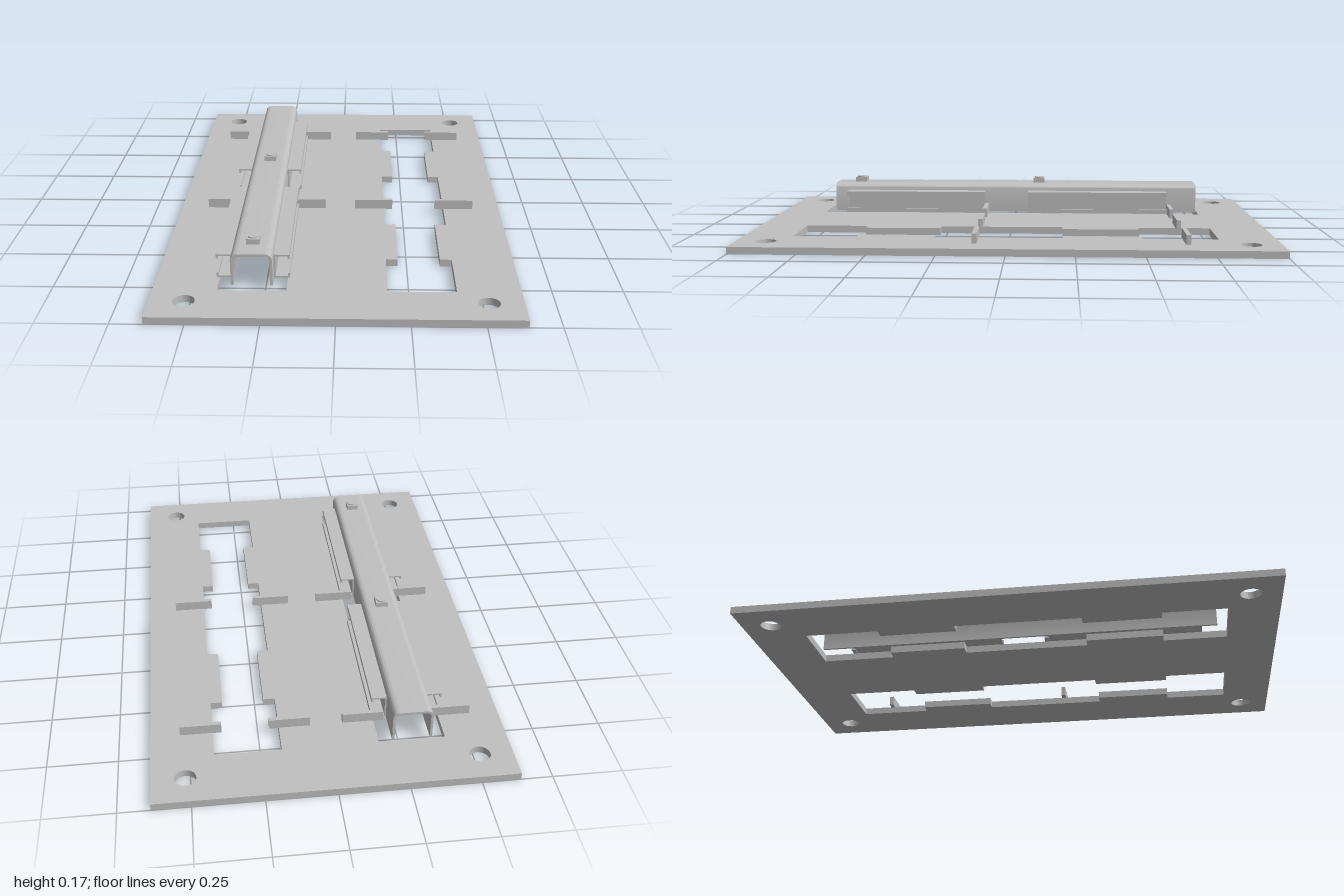
import * as THREE from 'three';
import { toCreasedNormals } from 'three/addons/utils/BufferGeometryUtils.js';

const steel = new THREE.MeshStandardMaterial({ color: 0xc0c0c0 });
steel.name = 'grey steel';

const PLATE = 0.027; // plate thickness
const SLOT_X = 0.294; // slot centre line
const RAIL_X = -0.296; // rail centre line
const TOP = 0.147; // rail top

function mesh(name, geometry, parent, x = 0, y = 0, z = 0) {
  const m = new THREE.Mesh(geometry, steel);
  m.name = name;
  m.position.set(x, y, z);
  parent.add(m);
  return m;
}

function extrude(shape, depth) {
  return toCreasedNormals(
    new THREE.ExtrudeGeometry(shape, { depth, bevelEnabled: false, curveSegments: 8 }), 0.6);
}

// Stepped slot outline: wide, narrow, wide, narrow, wide
function slotPath(cx) {
  const wide = 0.12, narrow = 0.077;
  const side = [
    [wide, -0.785], [wide, -0.504], [narrow, -0.504], [narrow, -0.206], [wide, -0.206],
    [wide, 0.275], [narrow, 0.275], [narrow, 0.571], [wide, 0.571], [wide, 0.813],
  ];
  const points = [
    ...side.map(([w, z]) => new THREE.Vector2(cx + w, -z)),
    ...side.slice().reverse().map(([w, z]) => new THREE.Vector2(cx - w, -z)),
  ];
  return new THREE.Path(points);
}

function basePlate() {
  const s = new THREE.Shape();
  s.moveTo(-0.637, -1).lineTo(0.637, -1).lineTo(0.637, 1).lineTo(-0.637, 1).closePath();
  for (const side of [-1, 1]) {
    s.holes.push(slotPath(side * SLOT_X));
    for (const y of [-0.888, 0.888]) {
      s.holes.push(new THREE.Path().absarc(side * 0.517, y, 0.038, 0, Math.PI * 2, true));
    }
  }
  const g = new THREE.ExtrudeGeometry(s, { depth: PLATE, bevelEnabled: false, curveSegments: 24 });
  g.rotateX(-Math.PI / 2);
  return toCreasedNormals(g, 0.6);
}

// Upside-down U with rounded shoulders
function railShape() {
  const w = 0.073, t = 0.009, r = 0.024, y0 = PLATE, i = w - t, ri = r - t;
  const s = new THREE.Shape();
  s.moveTo(w, y0).lineTo(w, TOP - r);
  s.absarc(w - r, TOP - r, r, 0, Math.PI / 2, false);
  s.lineTo(-w + r, TOP);
  s.absarc(-w + r, TOP - r, r, Math.PI / 2, Math.PI, false);
  s.lineTo(-w, y0).lineTo(-i, y0).lineTo(-i, TOP - r);
  s.absarc(-w + r, TOP - r, ri, Math.PI, Math.PI / 2, true);
  s.lineTo(w - r, TOP - t);
  s.absarc(w - r, TOP - r, ri, Math.PI / 2, 0, true);
  s.lineTo(i, y0).closePath();
  return s;
}

// Lipped C section, open on the side away from the rail
function bracketShape(side) {
  const a = 0.073, b = 0.129, lo = 0.029, hi = 0.118, t = 0.006, lip = 0.017;
  const points = [
    [a, lo], [b, lo], [b, lo + lip], [b - t, lo + lip], [b - t, lo + t], [a + t, lo + t],
    [a + t, hi - t], [b - t, hi - t], [b - t, hi - lip], [b, hi - lip], [b, hi], [a, hi],
  ];
  return new THREE.Shape(points.map(([x, y]) => new THREE.Vector2(side * x, y)));
}

export function createModel() {
  const model = new THREE.Group();
  model.name = 'slottedMountingPlate';

  mesh('basePlate', basePlate(), model);

  // Upright stops on both sides of each slot
  const stop = new THREE.BoxGeometry(0.15, 0.038, 0.017);
  for (const slot of [-1, 1]) {
    for (const side of [-1, 1]) {
      for (const z of [-0.66, 0.118]) {
        mesh('stop', stop, model, slot * 0.295 + side * 0.161, PLATE + 0.018, z);
      }
    }
  }

  // Rail with its side brackets and bolts
  const rail = new THREE.Group();
  rail.name = 'railAssembly';
  rail.position.x = RAIL_X;
  model.add(rail);
  mesh('rail', extrude(railShape(), 1.555), rail, 0, 0, -0.778);

  for (const side of [-1, 1]) {
    const bracket = extrude(bracketShape(side), 0.594);
    for (const z of [-0.652, 0.126]) mesh('sideBracket', bracket, rail, 0, 0, z);
  }

  const nut = new THREE.BoxGeometry(0.048, 0.02, 0.048);
  const boltEnd = new THREE.CylinderGeometry(0.019, 0.019, 0.026, 24);
  for (const z of [-0.105, 0.675]) {
    mesh('nut', nut, rail, 0, TOP + 0.01, z);
    mesh('boltEnd', boltEnd, rail, 0, TOP + 0.011, z);
  }
  return model;
}
